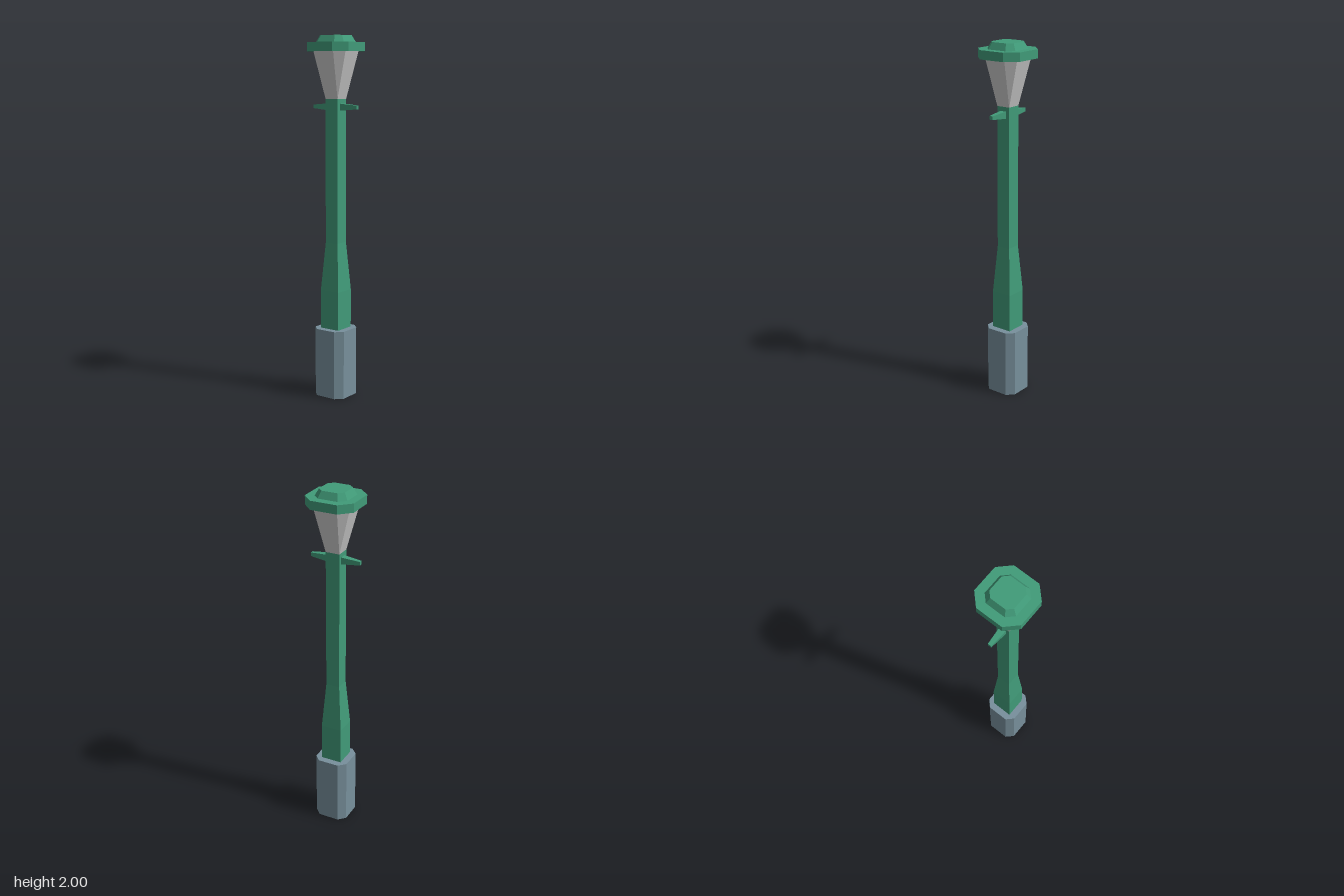
import * as THREE from 'three';

const material = (color) => new THREE.MeshStandardMaterial({ color, flatShading: true });

// Square with cut corners: half = half width, flat = half length of each straight side
function ring([y, half, flat]) {
  return [[half, -flat], [half, flat], [flat, half], [-flat, half],
    [-half, flat], [-half, -flat], [-flat, -half], [flat, -half]]
    .map(([x, z]) => new THREE.Vector3(x, y, z));
}

// Closed solid through sections [y, half, flat], listed from bottom to top
function loft(name, mat, sections) {
  const rings = sections.map(ring);
  const positions = [];
  const triangle = (a, b, c) => {
    if (new THREE.Triangle(a, b, c).getArea() < 1e-8) return;
    for (const p of [a, b, c]) positions.push(p.x, p.y, p.z);
  };
  for (let i = 0; i < rings.length - 1; i++) {
    for (let j = 0; j < 8; j++) {
      const k = (j + 1) % 8;
      triangle(rings[i][j], rings[i + 1][j], rings[i + 1][k]);
      triangle(rings[i][j], rings[i + 1][k], rings[i][k]);
    }
  }
  const bottom = rings[0], top = rings[rings.length - 1];
  const bottomCentre = new THREE.Vector3(0, sections[0][0], 0);
  const topCentre = new THREE.Vector3(0, sections[sections.length - 1][0], 0);
  for (let j = 0; j < 8; j++) {
    const k = (j + 1) % 8;
    triangle(bottomCentre, bottom[j], bottom[k]);
    triangle(topCentre, top[k], top[j]);
  }
  const geometry = new THREE.BufferGeometry();
  geometry.setAttribute('position', new THREE.Float32BufferAttribute(positions, 3));
  geometry.computeVertexNormals();
  const mesh = new THREE.Mesh(geometry, mat);
  mesh.name = name;
  return mesh;
}

export function createModel() {
  const model = new THREE.Group();
  model.name = 'streetLamp';
  const green = material(0x419b79);
  const stone = material(0x78909c);
  const glass = material(0xcccccc);

  // Stone base with cut corners
  model.add(loft('base', stone, [[0, 0.098, 0.06], [0.385, 0.098, 0.06]]));

  // Square post, wider at the foot
  model.add(loft('post', green, [
    [0.385, 0.06, 0.06], [0.6, 0.06, 0.06], [0.87, 0.04, 0.04], [1.66, 0.04, 0.04],
  ]));

  // Lantern flares from a square to an octagon
  model.add(loft('lantern', glass, [[1.66, 0.04, 0.04], [1.92, 0.108, 0.06]]));

  // Overhanging roof and its raised crown
  model.add(loft('roof', green, [[1.915, 0.139, 0.076], [1.963, 0.139, 0.076]]));
  model.add(loft('crown', green, [[1.963, 0.093, 0.056], [2, 0.073, 0.045]]));

  // Tapered ladder arms, front and back
  for (const side of [1, -1]) {
    const arm = loft(side > 0 ? 'frontArm' : 'backArm', green,
      [[0.038, 0.019, 0.019], [0.144, 0.01, 0.01]]);
    arm.rotation.x = side * Math.PI / 2;
    arm.position.y = 1.617;
    model.add(arm);
  }
  return model;
}
